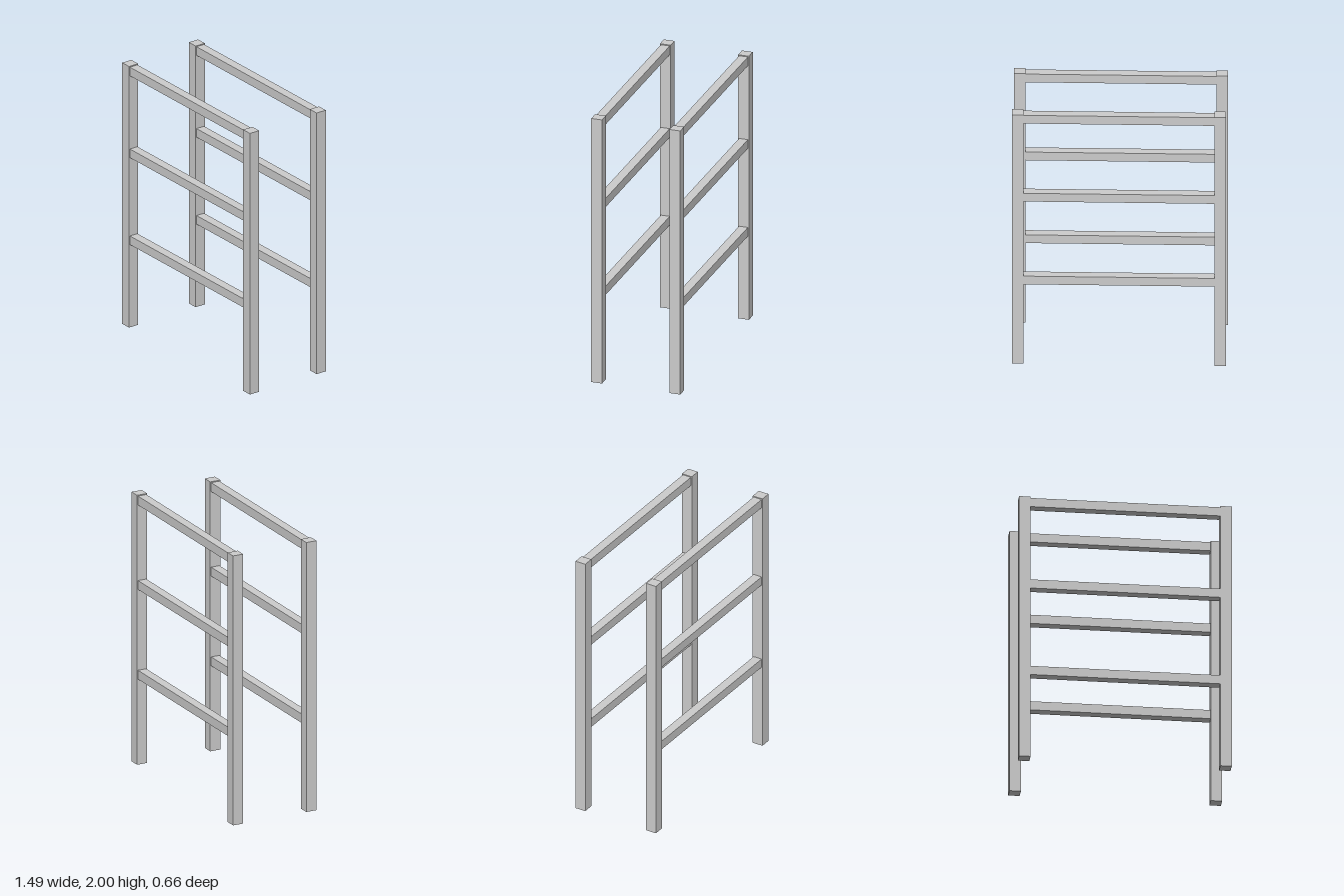
import * as THREE from 'three';

const POST = 0.08, POST_X = 0.707, POST_Z = 0.29;
const RAIL = 0.066, RAIL_LENGTH = 2 * POST_X - POST;
const RAIL_HEIGHTS = { lowerRail: 0.667, middleRail: 1.333, topRail: 1.96 };

export function createModel() {
  const model = new THREE.Group();
  model.name = 'rackFrame';
  const material = new THREE.MeshStandardMaterial({ color: 0xcccccc, flatShading: true });
  const postGeometry = new THREE.BoxGeometry(POST, 2, POST);
  const railGeometry = new THREE.BoxGeometry(RAIL_LENGTH, RAIL, RAIL);

  const add = (parent, name, geometry, x, y) => {
    const mesh = new THREE.Mesh(geometry, material);
    mesh.name = name;
    mesh.position.set(x, y, 0);
    parent.add(mesh);
  };

  // Two separate ladder-like frames, front and back
  for (const [name, z] of [['frontFrame', POST_Z], ['backFrame', -POST_Z]]) {
    const frame = new THREE.Group();
    frame.name = name;
    frame.position.z = z;

    // Square corner posts
    add(frame, 'leftPost', postGeometry, POST_X, 1);
    add(frame, 'rightPost', postGeometry, -POST_X, 1);

    // Crossbars between the posts
    for (const [rail, y] of Object.entries(RAIL_HEIGHTS)) add(frame, rail, railGeometry, 0, y);

    model.add(frame);
  }
  return model;
}
